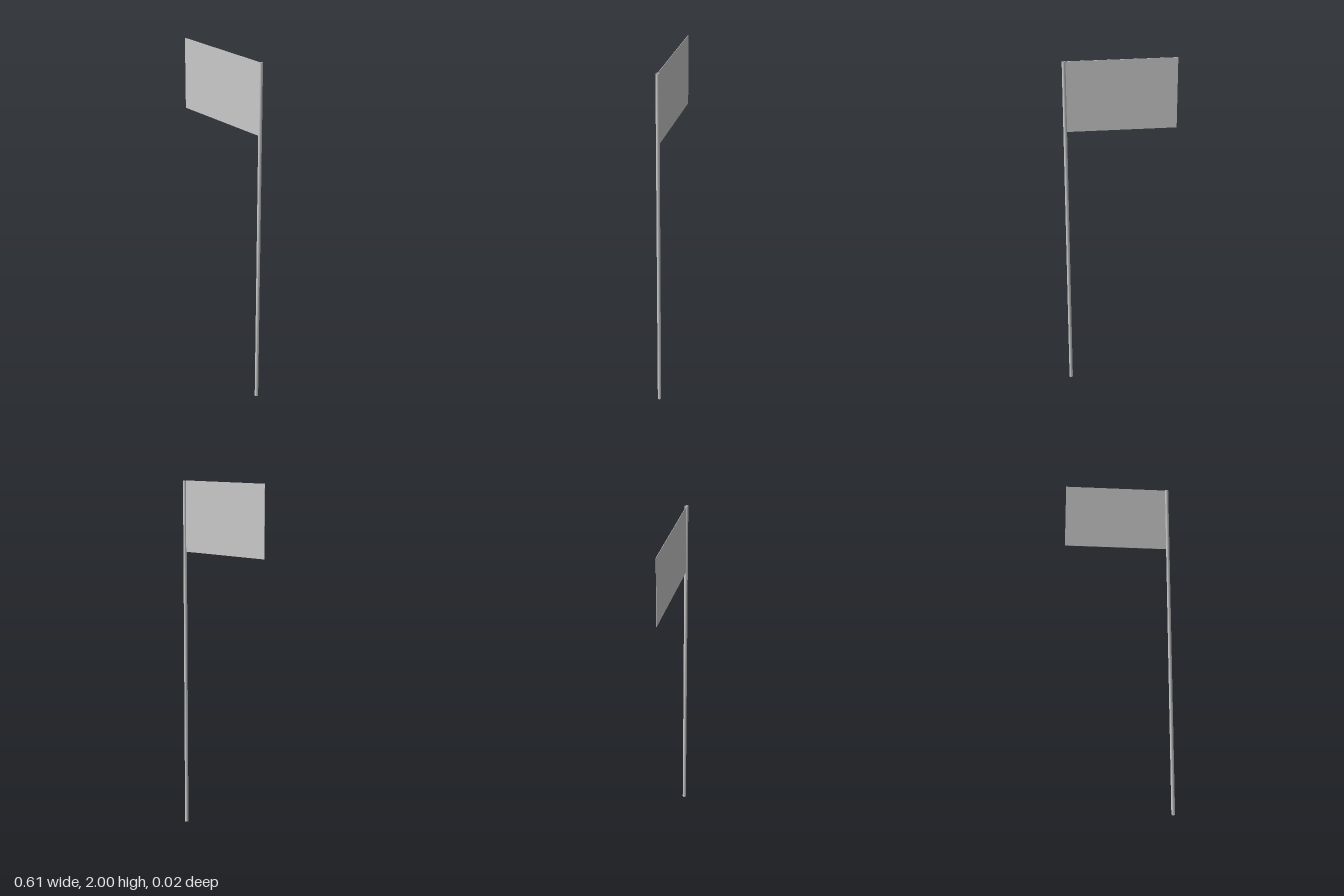
import * as THREE from 'three';

export function createModel() {
  const group = new THREE.Group();
  const material = new THREE.MeshStandardMaterial({ color: 0xcccccc, side: THREE.DoubleSide });

  const poleRadius = 0.01;
  const poleX = 0.295;
  const flagWidth = 0.6;
  const flagHeight = 0.4;

  // Slim open tube standing on the ground
  const pole = new THREE.Mesh(
    new THREE.CylinderGeometry(poleRadius, poleRadius, 2, 16, 1, true), material);
  pole.name = 'pole';
  pole.position.set(poleX, 1, 0);
  group.add(pole);

  // Thin flat cloth running from the pole's axis toward -x
  const flag = new THREE.Mesh(
    new THREE.BoxGeometry(flagWidth, flagHeight, 0.002), material);
  flag.name = 'flag';
  flag.position.set(poleX - flagWidth / 2, 2 - flagHeight / 2, 0);
  group.add(flag);

  return group;
}
